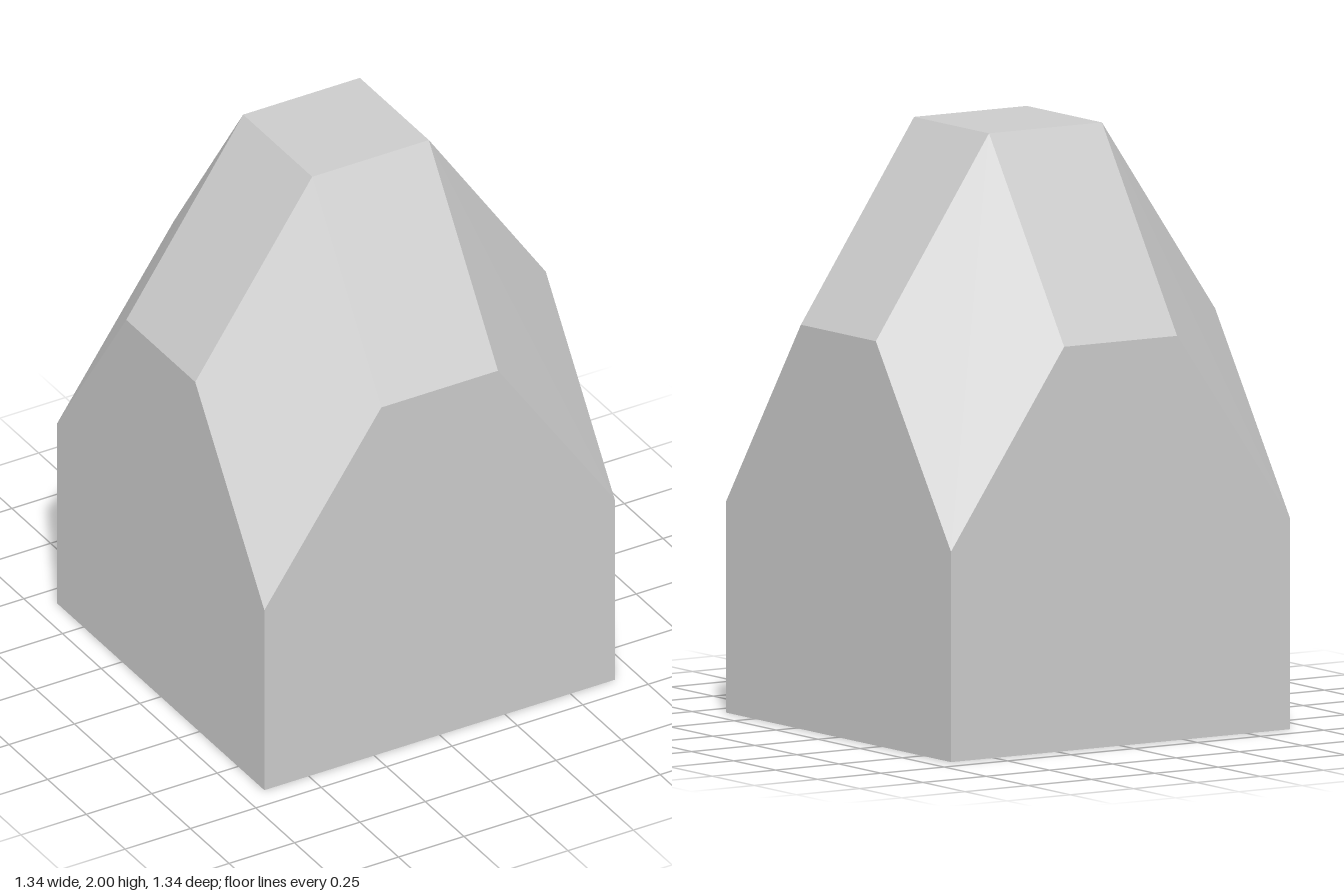
import * as THREE from 'three';
import { ConvexGeometry } from 'three/addons/geometries/ConvexGeometry.js';

const HALF = 0.67;      // half width of the square base
const INNER = 0.223;    // half width of the flat top
const CORNER_Y = 0.7;   // where the corner bevels start
const SHOULDER_Y = 1.345; // where the side faces start to slope
const TOP_Y = 2;

export function createModel() {
  const grey = new THREE.MeshStandardMaterial({ color: 0xcccccc });
  grey.name = 'pale grey';
  grey.flatShading = true;

  // One corner's points, mirrored into all four quadrants
  const points = [];
  for (const sx of [-1, 1]) {
    for (const sz of [-1, 1]) {
      const add = (x, y, z) => points.push(new THREE.Vector3(sx * x, y, sz * z));
      add(HALF, 0, HALF);
      add(HALF, CORNER_Y, HALF);
      add(INNER, SHOULDER_Y, HALF);
      add(HALF, SHOULDER_Y, INNER);
      add(INNER, TOP_Y, INNER);
    }
  }

  // Faceted block with bevelled sides and corners
  const block = new THREE.Mesh(new ConvexGeometry(points), grey);
  block.name = 'bevelledBlock';

  const model = new THREE.Group();
  model.name = 'facetedBlock';
  model.add(block);
  return model;
}
